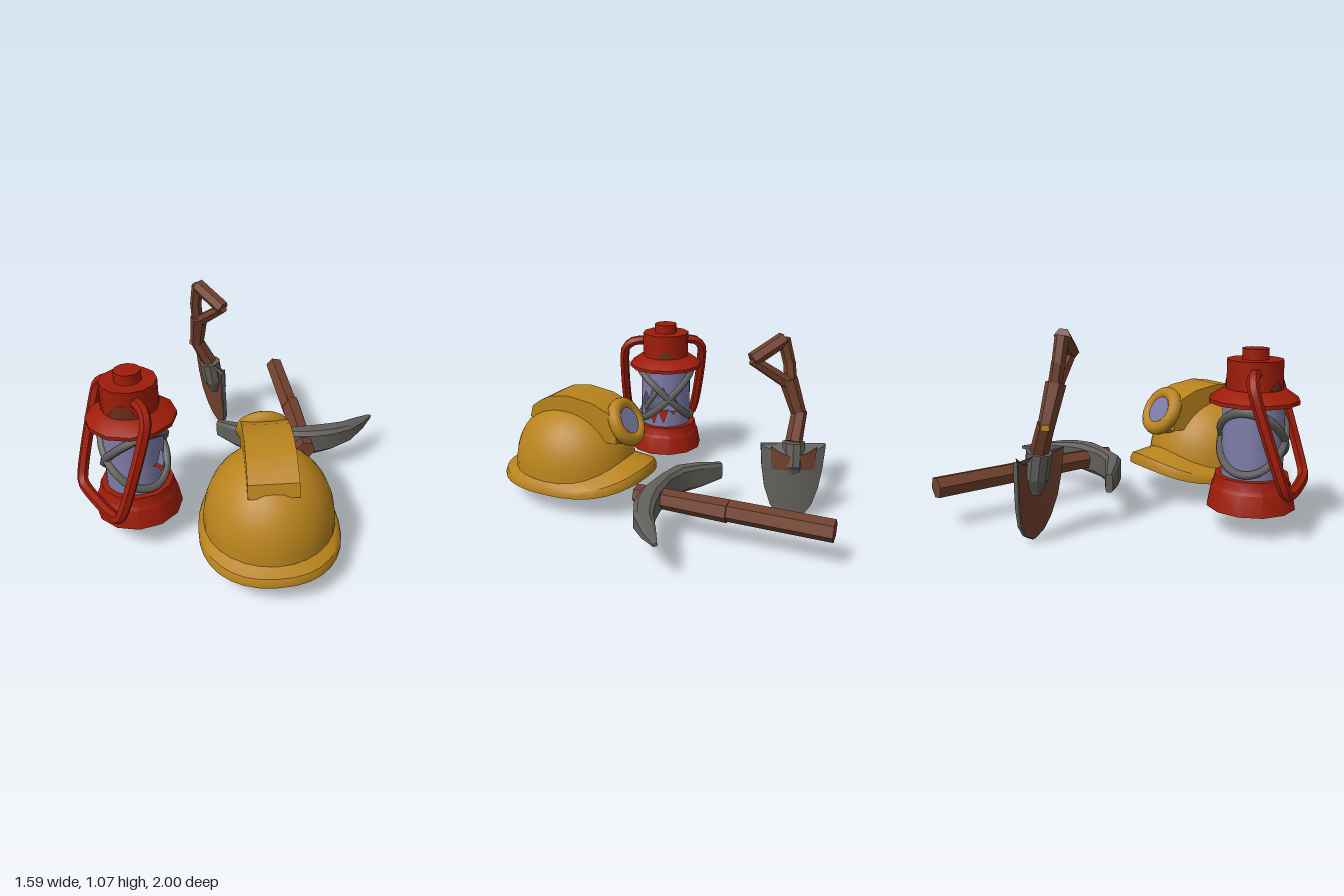
import * as THREE from 'three';
import { toCreasedNormals } from 'three/addons/utils/BufferGeometryUtils.js';

const V = (x, y, z) => new THREE.Vector3(x, y, z);
const mat = (name, color, side = THREE.FrontSide) => {
  const m = new THREE.MeshStandardMaterial({ color, side });
  m.name = name;
  return m;
};

// Skin through rings of points (each ring right-handed about the path)
function loft(rings, { closed = true, caps = false, crease = 0.6 } = {}) {
  const n = rings[0].length, pos = rings.flat().flatMap(p => p.toArray()), idx = [];
  const at = (i, j) => i * n + (j % n);
  for (let i = 0; i < rings.length - 1; i++)
    for (let j = 0; j < (closed ? n : n - 1); j++)
      idx.push(at(i, j), at(i, j + 1), at(i + 1, j + 1), at(i, j), at(i + 1, j + 1), at(i + 1, j));
  if (caps) for (let j = 1; j < n - 1; j++) {
    const e = rings.length - 1;
    idx.push(at(0, 0), at(0, j + 1), at(0, j), at(e, 0), at(e, j), at(e, j + 1));
  }
  const g = new THREE.BufferGeometry();
  g.setAttribute('position', new THREE.Float32BufferAttribute(pos, 3));
  g.setIndex(idx);
  return toCreasedNormals(g, crease);
}

// Horizontal ring from a function of the angle, starting at +z
const ring = (n, f) => Array.from({ length: n }, (_, i) => f(i / n * Math.PI * 2));

const lathe = (pts, sides, crease = 0.6) =>
  toCreasedNormals(new THREE.LatheGeometry(pts.map(p => new THREE.Vector2(...p)), sides), crease);

// Straight faceted bar between two points
function beam(a, b, ra, rb, sides = 6) {
  const d = b.clone().sub(a);
  const g = new THREE.CylinderGeometry(rb, ra, d.length(), sides);
  g.applyQuaternion(new THREE.Quaternion().setFromUnitVectors(V(0, 1, 0), d.normalize()));
  g.translate((a.x + b.x) / 2, (a.y + b.y) / 2, (a.z + b.z) / 2);
  return toCreasedNormals(g, 0.4);
}

function group(parent, name) {
  const g = new THREE.Group();
  g.name = name;
  parent.add(g);
  return g;
}
function add(parent, name, geo, material) {
  const m = new THREE.Mesh(geo, material);
  m.name = name;
  parent.add(m);
  return m;
}

export function createModel() {
  const root = new THREE.Group();
  root.name = 'miningGear';
  const red = mat('red paint', 0x9e1c08);
  const rust = mat('rust', 0x6e2c1c, THREE.DoubleSide);
  const yellow = mat('yellow shell', 0xb8831c);
  const wood = mat('wood', 0x70402c);
  const rustyBlade = mat('rusty blade', 0x70402c, THREE.DoubleSide);
  const metal = mat('grey metal', 0x62605c);
  const glass = mat('glass', 0x7e7ca8, THREE.DoubleSide);

  // ---- Lantern ----
  const lantern = group(root, 'lantern');
  lantern.position.set(-0.335, 0, 0.69);
  lantern.rotation.y = -0.33;
  add(lantern, 'lanternBase', lathe([[0, 0.24], [0.185, 0.24], [0.21, 0.13], [0.235, 0.13], [0.215, 0.235],
    [0.205, 0.25], [0.195, 0.3], [0, 0.3]], 12), red);
  add(lantern, 'lanternRoof', lathe([[0, 0.685], [0.235, 0.68], [0.235, 0.7], [0.17, 0.745], [0.147, 0.75],
    [0.147, 0.9], [0.07, 0.9], [0.07, 0.955], [0, 0.955]], 12), red);

  // Rounded rust blotches at the foot of the chimney: start angle, width, height
  for (const [start, width, h] of [[0.25, 1.1, 0.08], [-0.8, 0.6, 0.05], [2.6, 0.8, 0.05]]) {
    const edge = k => Array.from({ length: 9 }, (_, i) => {
      const a = start + width * i / 8;
      return V(0.15 * Math.sin(a), 0.753 + k * h * Math.sin(Math.PI * i / 8), 0.15 * Math.cos(a));
    });
    add(lantern, 'rustBlotch', loft([edge(0), edge(1)], { closed: false }), rust);
  }

  // Globe with a jagged hole at the back
  const gap = a => Math.max(0, 1 - Math.abs(a - 2.68) / 0.85);
  const tooth = a => (Math.round(a / (Math.PI * 2) * 30) % 2 ? 0.03 : 0.11);
  const globeRing = f => ring(30, a => V(0.16 * Math.sin(a), f(a), 0.16 * Math.cos(a)));
  const hole = s => globeRing(a => 0.45 + (gap(a) > 0 ? s * tooth(a) * (0.4 + gap(a)) : 0));
  add(lantern, 'globeLower', loft([globeRing(() => 0.29), hole(-1)]), glass);
  add(lantern, 'globeUpper', loft([hole(1), globeRing(() => 0.69)]), glass);

  // Two tilted guard wires crossing front and back
  for (const s of [-1, 1]) {
    const pts = ring(20, a => V(0.165 * Math.sin(a), 0.49 + s * 0.16 * Math.sin(a), 0.165 * Math.cos(a)));
    add(lantern, 'guardWire', new THREE.TubeGeometry(new THREE.CatmullRomCurve3(pts, true), 40, 0.023, 6, true), metal);
  }

  // Bail handle, swung forward
  const half = [[0.13, 0.84], [0.2, 0.835], [0.25, 0.79], [0.258, 0.73], [0.23, 0.33], [0.207, 0.265], [0.15, 0.248]];
  const swing = ([x, y], s) => V(s * x + 0.008, y, 0.04 + (0.835 - y) * 0.33);
  const bail = [...half.map(p => swing(p, -1)), ...half.slice().reverse().map(p => swing(p, 1))];
  add(lantern, 'lanternHandle', toCreasedNormals(new THREE.TubeGeometry(
    new THREE.CatmullRomCurve3(bail, false, 'centripetal'), 48, 0.03, 6), 0.7), red);

  // ---- Helmet ----
  const helmet = group(root, 'helmet');
  helmet.position.set(0.373, 0, 0.478);
  helmet.rotation.y = Math.PI + 0.668;
  const arc = (r, y, h) => Array.from({ length: 13 }, (_, i) => {
    const t = i / 12 * Math.PI / 2;
    return [i === 12 ? 0 : r * Math.cos(t) ** 0.92, y + h * Math.sin(t) ** 0.92];
  });
  const dome = lathe([...arc(0.92, 0.17, 0.385).reverse(), ...arc(1, 0.19, 0.4)], 28);
  dome.scale(0.343, 1, 0.377);
  add(helmet, 'helmetDome', toCreasedNormals(dome, 0.6), yellow);

  // Brim, longest and upturned at the front
  const sp = v => Math.sign(v) * Math.abs(v) ** 0.88;
  const lift = a => Math.max(0, Math.cos(a)) ** 3;
  const brimRing = (k, y, up) => ring(32, a =>
    V(k * 0.37 * sp(Math.sin(a)), y + up * lift(a), k * (Math.cos(a) > 0 ? 0.508 : 0.445) * sp(Math.cos(a))));
  const domeRing = (k, y, up) => ring(32, a =>
    V(k * 0.343 * Math.sin(a), y + up * lift(a), k * 0.377 * Math.cos(a)));
  add(helmet, 'helmetBrim', loft([domeRing(0.91, 0.19, 0.02), domeRing(0.94, 0.14, 0.02), brimRing(1, 0.13, 0.075),
    brimRing(1, 0.15, 0.095), brimRing(0.975, 0.175, 0.095), domeRing(1.025, 0.195, 0.1), domeRing(0.95, 0.21, 0.09)]), yellow);

  // Raised ridge over the crown
  const profile = [[0.36, 0.42], [0.36, 0.56], [0.3, 0.605], [0.2, 0.645], [0.04, 0.667], [-0.08, 0.65],
    [-0.16, 0.61], [-0.215, 0.57], [-0.235, 0.5], [0, 0.42]].map(p => new THREE.Vector2(...p));
  const ridge = new THREE.ExtrudeGeometry(new THREE.Shape(profile), { depth: 0.25, bevelEnabled: false });
  ridge.rotateY(-Math.PI / 2).translate(0.125, 0, 0);
  add(helmet, 'helmetRidge', toCreasedNormals(ridge, 0.6), yellow);

  // Head lamp tilted upward
  const lamp = group(helmet, 'headLamp');
  lamp.position.set(0, 0.52, 0.36);
  lamp.rotation.x = -0.5;
  add(lamp, 'lampRim', new THREE.TorusGeometry(0.109, 0.04, 10, 24), yellow);
  add(lamp, 'lampHousing', new THREE.CylinderGeometry(0.12, 0.1, 0.14, 20).rotateX(Math.PI / 2).translate(0, 0, -0.075), yellow);
  add(lamp, 'lampLens', new THREE.CircleGeometry(0.084, 20).translate(0, 0, 0.025), glass);

  // ---- Pickaxe ----
  const pick = group(root, 'pickaxe');
  const tail = V(-0.5, 0.22, -0.955), crack = V(-0.09, 0.222, -0.5), nose = V(0.235, 0.22, -0.14);
  add(pick, 'pickHandleRear', beam(tail, crack, 0.061, 0.06), wood);
  add(pick, 'pickHandleFront', beam(V(-0.12, 0.222, -0.545), nose, 0.064, 0.056), wood);
  // x, z, half thickness, half height along the head
  const head = [[-0.345, -0.06, 0.02, 0.05], [-0.2, -0.062, 0.037, 0.07], [-0.07, -0.067, 0.044, 0.078],
    [0.06, -0.14, 0.038, 0.08], [0.2, -0.255, 0.056, 0.08], [0.275, -0.35, 0.058, 0.07], [0.328, -0.45, 0.052, 0.055],
    [0.355, -0.58, 0.038, 0.032], [0.374, -0.7, 0.012, 0.008]];
  add(pick, 'pickHead', loft(head.map(([x, z, t, h], i) => {
    const a = head[Math.max(0, i - 1)], b = head[Math.min(head.length - 1, i + 1)];
    const s = V(a[1] - b[1], 0, b[0] - a[0]).normalize();
    return [[1, -0.6], [1, 0.6], [0.7, 1], [-0.7, 1], [-1, 0.6], [-1, -0.6], [-0.7, -1], [0.7, -1]]
      .map(([v, w]) => V(x + s.x * t * w, 0.22 + h * v, z + s.z * t * w));
  }), { caps: true, crease: 0.4 }), metal);

  // ---- Shovel ----
  const shovel = group(root, 'shovel');
  const blade = group(shovel, 'blade');
  blade.position.set(-0.602, 0, -0.427);
  blade.rotation.y = -0.47;
  // y, half width, forward curl of the edges
  const rows = [[0, 0.012, 0], [0.035, 0.07, 0.01], [0.1, 0.118, 0.02], [0.2, 0.153, 0.035], [0.32, 0.172, 0.045],
    [0.405, 0.182, 0.052]];
  const across = [-1, -0.6, -0.2, 0.2, 0.6, 1];
  const skin = (off, k) => rows.map(([y, w, c], i) => across.map(u =>
    V(u * w * k, y + (i === 5 ? 0.05 * u * u : 0), c * u * u * k * k + y * 0.03 + off)));
  const front = skin(0.012, 1), back = skin(-0.012, 1);
  add(blade, 'bladeBody', loft(front.map((r, i) => [...r, ...back[i].slice().reverse()]), { caps: true }), metal);
  add(blade, 'bladeFace', loft(skin(0.017, 0.97), { closed: false }), rustyBlade);
  add(blade, 'bladeBackRust', loft(skin(-0.017, 0.7).slice(-2), { closed: false }), rustyBlade);

  // Socket, crooked shaft and grip
  const foot = V(-0.62, 0.24, -0.395), waist = V(-0.625, 0.33, -0.39), neck = V(-0.635, 0.465, -0.37),
    bend = V(-0.695, 0.62, -0.32), fork = V(-0.635, 0.81, -0.28), gripA = V(-0.61, 1.035, -0.25),
    gripB = V(-0.42, 0.935, -0.24);
  add(shovel, 'socketTip', beam(foot, waist, 0.02, 0.064, 10), metal);
  add(shovel, 'socket', beam(waist, neck, 0.064, 0.066, 10), metal);
  add(shovel, 'shaftLower', beam(neck, bend, 0.048, 0.044), wood);
  add(shovel, 'shaftUpper', beam(V(-0.695, 0.6, -0.322), fork, 0.042, 0.052), wood);
  add(shovel, 'splinter', new THREE.BoxGeometry(0.04, 0.03, 0.04).translate(-0.715, 0.608, -0.317), yellow);
  add(shovel, 'forkLeft', beam(V(-0.65, 0.78, -0.285), V(-0.645, 0.91, -0.265), 0.036, 0.034), wood);
  add(shovel, 'forkLeftTop', beam(V(-0.645, 0.9, -0.265), gripA, 0.034, 0.036), wood);
  add(shovel, 'forkRight', beam(V(-0.63, 0.79, -0.285), gripB, 0.038, 0.03), wood);
  add(shovel, 'grip', beam(gripA, gripB, 0.042, 0.042), wood);

  return root;
}
